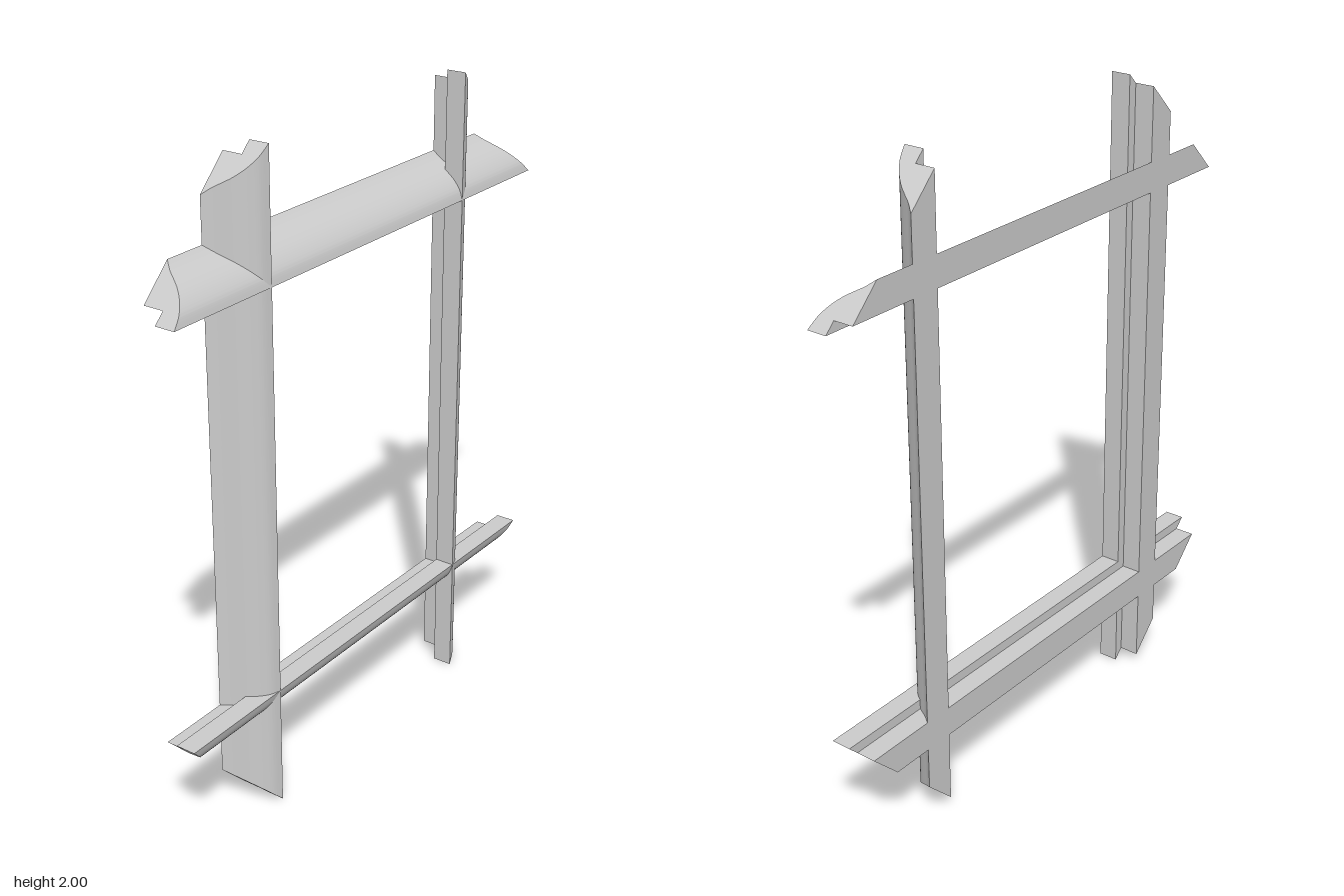
import * as THREE from 'three';
import { toCreasedNormals } from 'three/addons/utils/BufferGeometryUtils.js';

const HALF_WIDTH = 0.454;   // half opening, across
const HALF_HEIGHT = 0.618;  // half opening, up
const OVERHANG = 0.382;     // how far each bar runs past the opening

// Moulding section: x = distance outward from the opening, y = depth (front is +).
function mouldingProfile() {
  const shape = new THREE.Shape();
  shape.moveTo(0, 0.0625);
  shape.lineTo(0, 0);
  shape.lineTo(0.031, 0);          // rebate at the back of the inner edge
  shape.lineTo(0.031, -0.0625);
  shape.lineTo(0.125, -0.0625);
  shape.splineThru([               // rounded front falling to the outer edge
    [0.106, -0.038], [0.092, -0.014], [0.077, 0.01],
    [0.056, 0.034], [0.03, 0.053], [0, 0.0625],
  ].map(([x, y]) => new THREE.Vector2(x, y)));
  return shape;
}

// Bar along x, lying above the opening, with ends cut at 45 degrees.
function barGeometry(offset, halfLength) {
  const geometry = new THREE.ExtrudeGeometry(mouldingProfile(), {
    depth: 1, bevelEnabled: false, curveSegments: 20,
  });
  const p = geometry.attributes.position;
  for (let i = 0; i < p.count; i++) {
    const u = p.getX(i), depth = p.getY(i);
    const side = p.getZ(i) > 0.5 ? 1 : -1;
    p.setXYZ(i, side * (halfLength - u), offset + u, depth);
  }
  return toCreasedNormals(geometry, 0.5);
}

export function createModel() {
  const group = new THREE.Group();
  group.name = 'crossedFrame';
  const material = new THREE.MeshStandardMaterial({ color: 0xcccccc });
  const rail = barGeometry(HALF_HEIGHT, HALF_WIDTH + OVERHANG);
  const stile = barGeometry(HALF_WIDTH, HALF_HEIGHT + OVERHANG);

  // Four bars, each turned a further quarter around the opening
  ['topRail', 'rightStile', 'bottomRail', 'leftStile'].forEach((name, i) => {
    const bar = new THREE.Mesh(i % 2 ? stile : rail, material);
    bar.name = name;
    bar.position.y = 1;
    bar.rotation.z = i * Math.PI / 2;
    group.add(bar);
  });
  return group;
}
